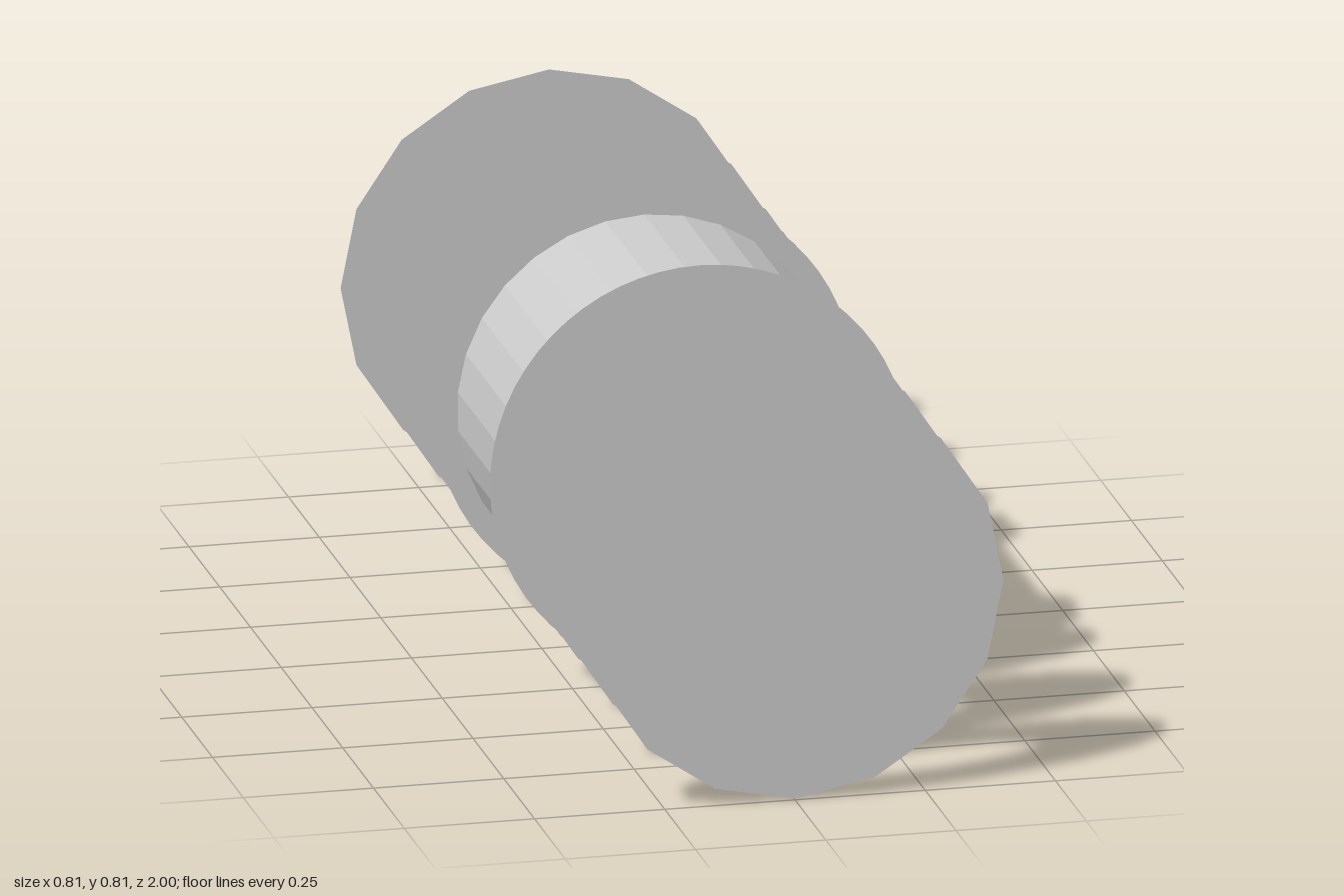
import * as THREE from 'three';

const CENTER_Y = 0.4025;
const material = new THREE.MeshStandardMaterial({
  color: 0xcccccc, flatShading: true, side: THREE.DoubleSide,
});

// flat annulus facing along z
function ring(name, inner, outer, sides, z) {
  const mesh = new THREE.Mesh(new THREE.RingGeometry(inner, outer, sides), material);
  mesh.name = name;
  mesh.position.z = z;
  return mesh;
}

export function createModel() {
  const model = new THREE.Group();
  model.name = 'spoolWithPlates';
  const assembly = new THREE.Group();
  assembly.name = 'assembly';
  assembly.position.y = CENTER_Y;
  model.add(assembly);

  // faceted open drum in the middle, axis along z, a corner at the top
  const drumGeometry = new THREE.CylinderGeometry(0.36, 0.36, 0.45, 30, 1, true);
  drumGeometry.rotateX(Math.PI / 2);
  const drum = new THREE.Mesh(drumGeometry, material);
  drum.name = 'drum';
  assembly.add(drum);

  // plates from the outside in: outer z and hole radius
  const plates = [
    { z: 1.0, hole: 0.19 },
    { z: 0.715, hole: 0.135 },
    { z: 0.435, hole: 0.11 },
    { z: 0.295, hole: 0.09 },
  ];
  const gap = 0.015;

  for (const side of [1, -1]) {
    const end = side > 0 ? 'front' : 'back';
    // round flange closing the drum end
    assembly.add(ring(end + 'Flange', 0.09, CENTER_Y, 64, side * 0.225));
    // each plate is a pair of close faces
    plates.forEach(({ z, hole }, i) => {
      const plate = new THREE.Group();
      plate.name = end + 'Plate' + (i + 1);
      plate.add(ring('outerFace', hole, 0.4, 16, side * z));
      plate.add(ring('innerFace', hole, 0.4, 16, side * (z - gap)));
      assembly.add(plate);
    });
  }
  return model;
}
